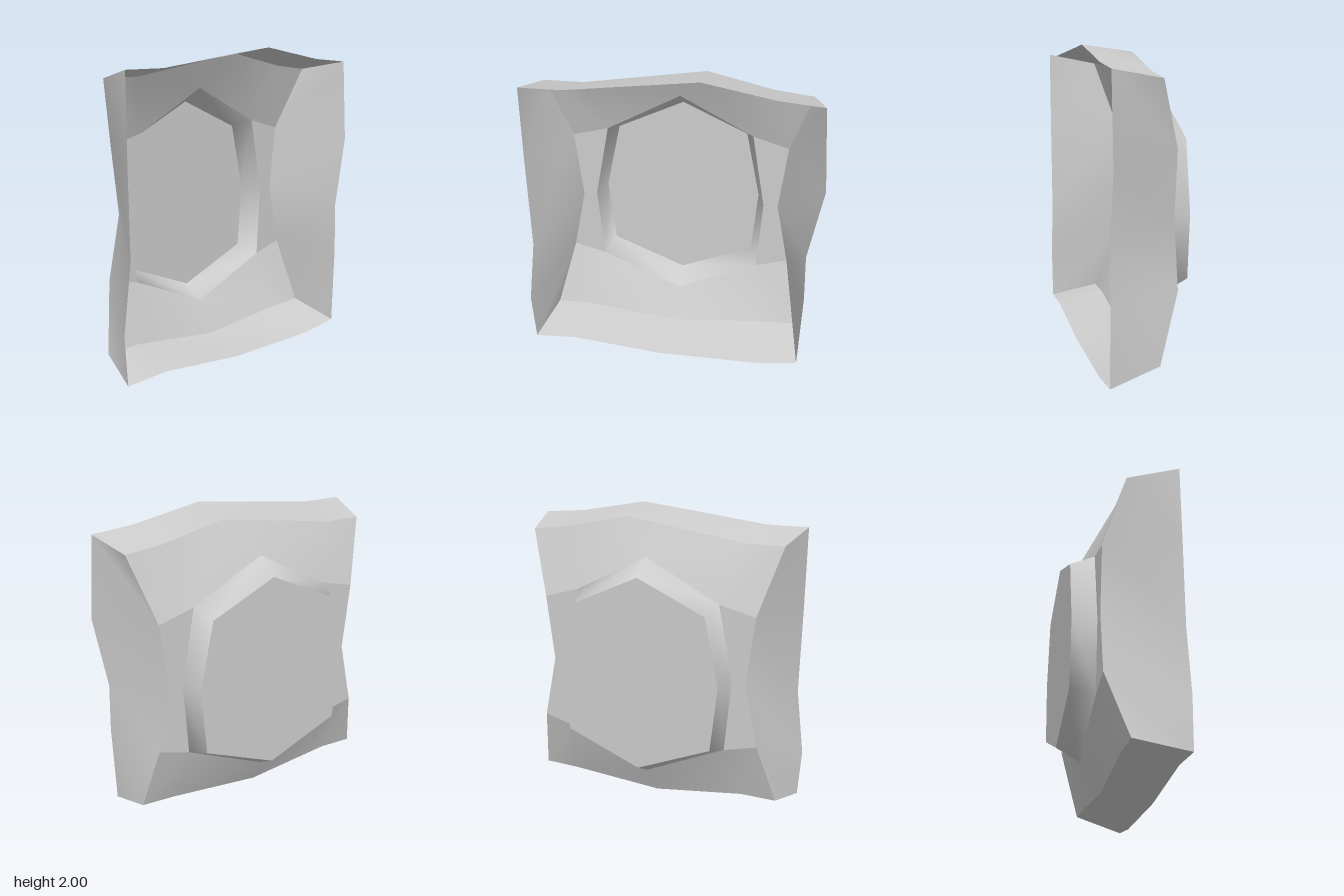
import * as THREE from 'three';

// Depths, from the open front to the closed back
const FRONT = 0.3, MID = -0.02, LEDGE = -0.15, BACK = -0.3;
const at = (z, pts) => pts.map(([x, y]) => [x, y, z]);

// Smooth strip between two matching rows of points (outer row first, clockwise seen from the front)
function strip(outer, inner, closed = false) {
  const n = outer.length, index = [];
  for (let i = 0; i < (closed ? n : n - 1); i++) {
    const j = (i + 1) % n;
    index.push(i, n + i, n + j, i, n + j, j);
  }
  const g = new THREE.BufferGeometry();
  g.setAttribute('position', new THREE.Float32BufferAttribute([...outer, ...inner].flat(), 3));
  g.setIndex(index);
  g.computeVertexNormals();
  return g;
}

export function createModel() {
  const group = new THREE.Group();
  const stone = new THREE.MeshStandardMaterial({ color: 0xcccccc, side: THREE.DoubleSide });
  stone.name = 'light grey';
  const add = (name, geometry) => {
    const mesh = new THREE.Mesh(geometry, stone);
    mesh.name = name;
    group.add(mesh);
    return mesh;
  };

  // Uneven front rim, clockwise from the top left corner
  const rimTop = at(FRONT, [[-0.92, 1.9], [-0.65, 1.9], [0.19, 2], [0.64, 1.915], [0.92, 1.89]]);
  const rimRight = at(FRONT, [[0.92, 1.89], [0.96, 1.35], [0.875, 0.88], [0.885, 0.56], [0.87, 0.035]]);
  const rimBottom = at(FRONT, [[0.87, 0.035], [0.6, 0], [-0.07, 0], [-0.67, 0.06], [-0.945, 0.045]]);
  const rimLeft = at(FRONT, [[-0.945, 0.045], [-0.965, 0.36], [-0.91, 0.8], [-0.918, 1.4], [-0.92, 1.9]]);

  // Inner edges of the top and bottom walls
  const midTop = at(MID, [[-0.85, 1.835], [-0.6, 1.835], [0.19, 1.955], [0.6, 1.86], [0.85, 1.83]]);
  const midBottom = at(MID, [[0.825, 0.125], [0.59, 0.115], [-0.03, 0.06], [-0.63, 0.135], [-0.865, 0.13]]);

  // Waisted edges of the flat ledge
  const waistRight = at(LEDGE, [[0.715, 1.41], [0.665, 0.98], [0.75, 0.56]]);
  const waistLeft = at(LEDGE, [[-0.755, 0.555], [-0.67, 0.97], [-0.72, 1.41]]);

  // Eight-sided recess, clockwise from the peak
  const recess = at(LEDGE, [[0, 1.73], [0.48, 1.48], [0.57, 0.98], [0.54, 0.5],
    [0, 0.26], [-0.54, 0.5], [-0.58, 0.98], [-0.485, 1.47]]);
  const floor = [[0, 1.63], [0.43, 1.43], [0.525, 0.98], [0.49, 0.55],
    [0, 0.345], [-0.49, 0.55], [-0.535, 0.98], [-0.44, 1.425]];

  // Outer walls
  add('topWall', strip(rimTop, midTop));
  add('rightWall', strip(rimRight, [midTop[4], ...waistRight, midBottom[0]]));
  add('bottomWall', strip(rimBottom, midBottom));
  add('leftWall', strip(rimLeft, [midBottom[4], ...waistLeft, midTop[0]]));

  // Sloping panels above and below the recess
  add('upperSlope', strip(midTop, [waistLeft[2], recess[7], recess[0], recess[1], waistRight[0]]));
  add('lowerSlope', strip(midBottom, [waistRight[2], recess[3], recess[4], recess[5], waistLeft[0]]));

  // Flat ledges beside the recess
  add('rightLedge', strip(waistRight, recess.slice(1, 4)));
  add('leftLedge', strip(waistLeft, recess.slice(5, 8)));

  // Recess wall and its flat floor
  add('recessWall', strip(recess, at(BACK, floor), true));
  const shape = new THREE.Shape(floor.map(([x, y]) => new THREE.Vector2(x, y)));
  add('recessFloor', new THREE.ShapeGeometry(shape)).position.z = BACK;

  return group;
}
